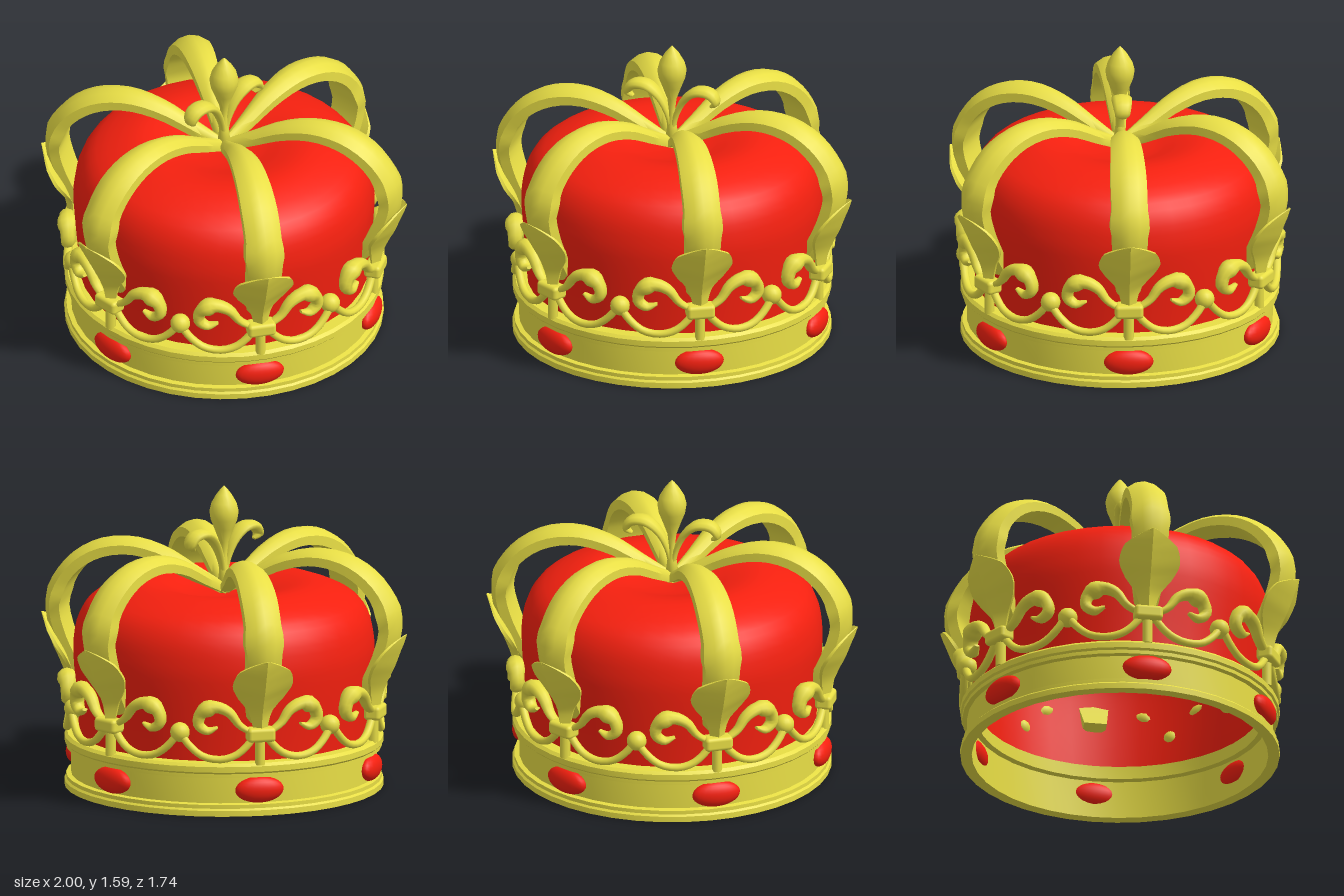
import * as THREE from 'three';
import { toCreasedNormals } from 'three/addons/utils/BufferGeometryUtils.js';
import { RoundedBoxGeometry } from 'three/addons/geometries/RoundedBoxGeometry.js';

const gold = new THREE.MeshStandardMaterial({ color: 0xe8de45 });
const red = new THREE.MeshStandardMaterial({ color: 0xf5200f });
const redCloth = new THREE.MeshStandardMaterial({ color: 0xf5200f, side: THREE.DoubleSide });
const COUNT = 6;
const R = 0.82; // radius of the ornament row

function mesh(name, geometry, material = gold) {
  const m = new THREE.Mesh(geometry, material);
  m.name = name;
  return m;
}

// Sweeps a section of [n, z] corners along a path of [x, y, halfWidth, halfThickness]
function sweep(path, section, steps, crease = 0.8, map = (p) => p) {
  const curve = new THREE.CatmullRomCurve3(path.map(([x, y]) => new THREE.Vector3(x, y, 0)));
  const sizes = new THREE.CatmullRomCurve3(path.map((p) => new THREE.Vector3(p[2], p[3], 0)));
  const pos = [], index = [], n = section.length;
  const add = (x, y, z) => pos.push(...map(new THREE.Vector3(x, y, z)).toArray());
  for (let i = 0; i <= steps; i++) {
    const p = curve.getPoint(i / steps), t = curve.getTangent(i / steps), s = sizes.getPoint(i / steps);
    const w = Math.max(s.x, 0.003), h = Math.max(s.y, 0.003);
    for (const [a, b] of section) add(p.x - t.y * a * h, p.y + t.x * a * h, b * w);
  }
  for (let i = 0; i < steps; i++) {
    for (let j = 0; j < n; j++) {
      const k = (j + 1) % n, a = i * n, b = a + n;
      index.push(a + j, a + k, b + k, a + j, b + k, b + j);
    }
  }
  const last = steps * n;
  for (let j = 1; j < n - 1; j++) index.push(0, j + 1, j, last, last + j, last + j + 1);
  const g = new THREE.BufferGeometry();
  g.setAttribute('position', new THREE.Float32BufferAttribute(pos, 3));
  g.setIndex(index);
  return toCreasedNormals(g, crease);
}

const oval = Array.from({ length: 10 }, (_, i) => [Math.cos(i * Math.PI / 5), Math.sin(i * Math.PI / 5)]);
const archSection = [[-1, 0], [-0.8, -0.5], [-0.2, -1], [0.8, -1], [0.8, 1], [-0.2, 1], [-0.8, 0.5]];
const petalSection = [[-1, 0], [0, -1], [0.25, -0.95], [0, 0], [0.25, 0.95], [0, 1]];

// Bends a flat ornament around the crown
const wrap = (p) => new THREE.Vector3((R + p.z) * Math.sin(p.x / R), p.y, (R + p.z) * Math.cos(p.x / R));

function lathe(profile, segments, crease) {
  const g = new THREE.LatheGeometry(profile.map(([x, y]) => new THREE.Vector2(x, y)), segments);
  return crease ? toCreasedNormals(g, crease) : g;
}

export function createModel() {
  const crown = new THREE.Group();
  crown.name = 'crown';

  // Headband with stepped rims
  crown.add(mesh('headband', lathe([
    [0.775, 0], [0.835, 0], [0.835, 0.03], [0.825, 0.04], [0.825, 0.06], [0.8, 0.065], [0.8, 0.2],
    [0.825, 0.205], [0.825, 0.225], [0.835, 0.235], [0.835, 0.265], [0.82, 0.28], [0.745, 0.28],
    [0.745, 0.21], [0.775, 0.205], [0.775, 0],
  ], 40, 0.6)));

  // Cloth cap with a sunken centre
  const capCurve = new THREE.SplineCurve([
    [0.752, 0.21], [0.765, 0.4], [0.785, 0.65], [0.785, 0.78], [0.755, 0.91], [0.67, 1.01],
    [0.48, 1.078], [0.33, 1.065], [0.18, 1.02], [0, 1.0],
  ].map(([x, y]) => new THREE.Vector2(x, y)));
  const capPoints = capCurve.getPoints(27).map((p) => [Math.max(p.x, 0), p.y]);
  crown.add(mesh('cap', lathe(capPoints, 40), redCloth));

  // Shared shapes of one sixth; arch and petal lie in the x-y plane
  const arch = sweep([
    [0.75, 0.5, 0.06, 0.04], [0.82, 0.62, 0.08, 0.05], [0.885, 0.76, 0.09, 0.055], [0.915, 0.9, 0.095, 0.055],
    [0.88, 1.03, 0.095, 0.055], [0.79, 1.145, 0.095, 0.052], [0.66, 1.22, 0.088, 0.05], [0.5, 1.243, 0.078, 0.047],
    [0.33, 1.205, 0.062, 0.043], [0.16, 1.12, 0.042, 0.037], [0, 1.04, 0.025, 0.03],
  ], archSection, 28, 0.75);
  const petal = sweep([
    [0.82, 0.45, 0.035, 0.03], [0.82, 0.55, 0.06, 0.05], [0.84, 0.64, 0.13, 0.065], [0.875, 0.71, 0.162, 0.065],
    [0.92, 0.78, 0.145, 0.05], [0.96, 0.825, 0.075, 0.03], [0.995, 0.857, 0.003, 0.004],
  ], petalSection, 16, 0.5);
  const clasp = new RoundedBoxGeometry(0.15, 0.075, 0.09, 3, 0.02);
  const stem = new THREE.CylinderGeometry(0.027, 0.027, 0.16, 8);
  const pearl = new THREE.SphereGeometry(0.052, 16, 12);
  const jewel = new THREE.SphereGeometry(1, 20, 14);
  const curl = (side) => sweep([
    [0.04, 0.44, 0.025, 0.015], [0.11, 0.485, 0.03, 0.02], [0.165, 0.555, 0.037, 0.027], [0.24, 0.583, 0.042, 0.033],
    [0.31, 0.55, 0.042, 0.033], [0.325, 0.49, 0.038, 0.03], [0.28, 0.455, 0.032, 0.023], [0.225, 0.475, 0.015, 0.008],
  ].map(([x, ...rest]) => [side * x, ...rest]), oval, 24, 1.2, wrap);
  const swag = (side) => sweep([
    [0.03, 0.43], [0.07, 0.375], [0.13, 0.325], [0.21, 0.303], [0.3, 0.318], [0.37, 0.37], [0.425, 0.44],
  ].map(([x, y]) => [side * x, y, 0.022, 0.02]), oval, 16, 1.2, wrap);
  const curls = [curl(1), curl(-1)], swags = [swag(1), swag(-1)];

  for (let i = 0; i < COUNT; i++) {
    const sector = new THREE.Group();
    sector.name = 'sector' + (i + 1);
    sector.rotation.y = i * Math.PI * 2 / COUNT;
    sector.add(mesh('arch', arch), mesh('petal', petal));

    // Lily ornament, modelled facing +z and turned to face +x
    const ornament = new THREE.Group();
    ornament.name = 'lilyOrnament';
    ornament.rotation.y = Math.PI / 2;
    for (const g of curls) ornament.add(mesh('curledLeaf', g));
    for (const g of swags) ornament.add(mesh('swag', g));
    const claspMesh = mesh('clasp', clasp);
    claspMesh.position.set(0, 0.435, 0.825);
    const stemMesh = mesh('stem', stem);
    stemMesh.position.set(0, 0.35, 0.815);
    const jewelMesh = mesh('jewel', jewel, red);
    jewelMesh.scale.set(0.13, 0.07, 0.05);
    jewelMesh.position.set(0, 0.135, 0.8);
    ornament.add(claspMesh, stemMesh, jewelMesh);
    sector.add(ornament);

    // Pearl halfway to the next ornament
    const pearlMesh = mesh('pearl', pearl);
    pearlMesh.position.set(0.806 * Math.cos(Math.PI / 6), 0.44, 0.806 * Math.sin(Math.PI / 6));
    sector.add(pearlMesh);
    crown.add(sector);
  }

  // Finial: pointed bud between two curled leaves
  const finial = new THREE.Group();
  finial.name = 'finial';
  finial.add(mesh('bud', lathe([
    [0, 1.05], [0.035, 1.06], [0.025, 1.14], [0.016, 1.22], [0.024, 1.29], [0.05, 1.36], [0.07, 1.41],
    [0.077, 1.455], [0.066, 1.5], [0.04, 1.545], [0.015, 1.577], [0, 1.592],
  ], 16)));
  const finialLeaf = sweep([
    [0.0, 1.08, 0.02, 0.015], [0.02, 1.19, 0.025, 0.015], [0.07, 1.295, 0.042, 0.02], [0.14, 1.35, 0.056, 0.026],
    [0.215, 1.345, 0.052, 0.027], [0.245, 1.3, 0.04, 0.02], [0.215, 1.275, 0.015, 0.008],
  ], oval, 20, 1.2);
  for (const turn of [0, Math.PI]) {
    const leaf = mesh('finialLeaf', finialLeaf);
    leaf.rotation.y = turn;
    finial.add(leaf);
  }
  crown.add(finial);
  return crown;
}
